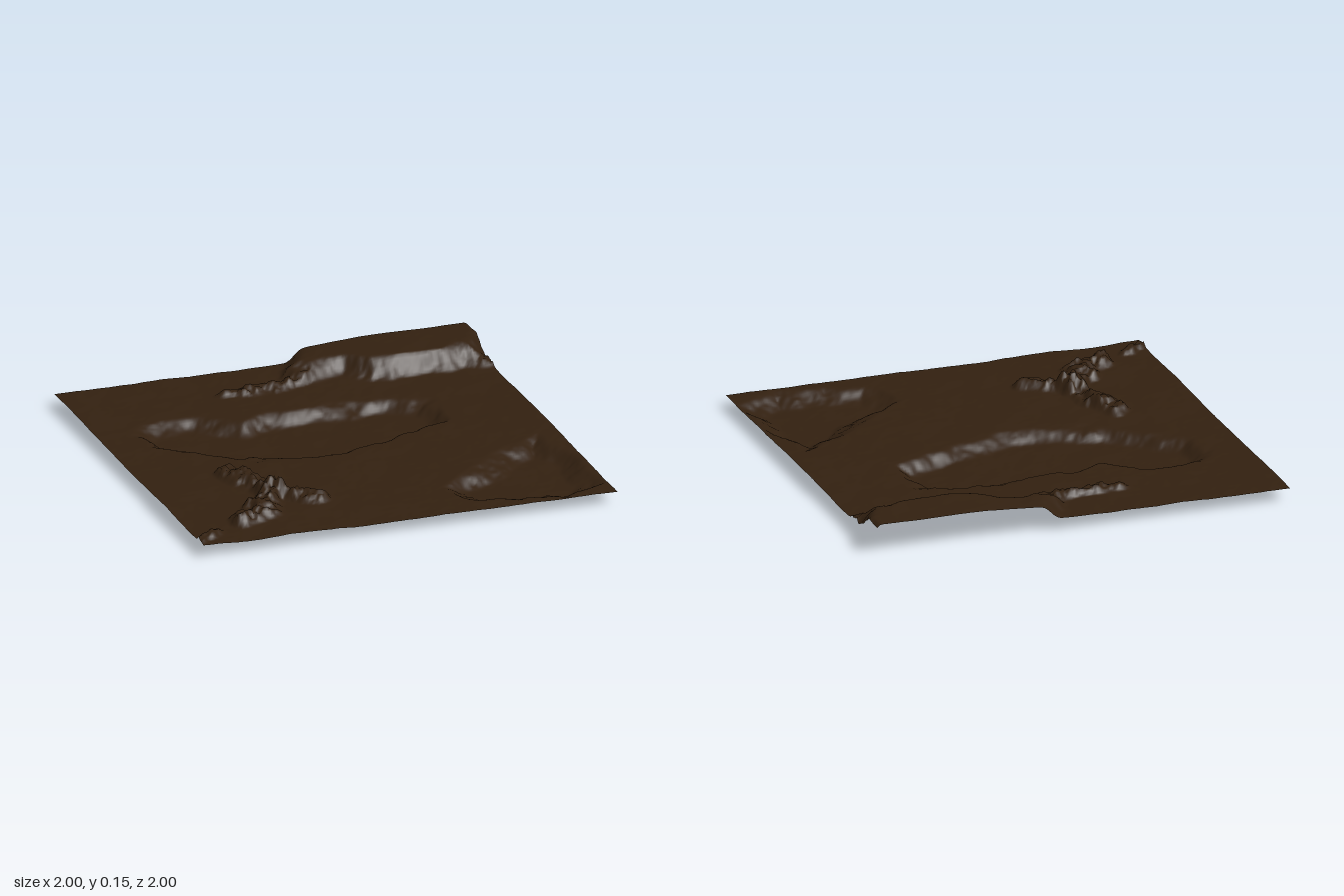
import * as THREE from 'three';

const N = 180; // grid cells per side
const BASE = 0.063; // level of the open ground

// Outlines are [x, z] points seen from above
const HOLLOWS = [
  [[-0.84, -0.42], [-0.72, -0.52], [-0.5, -0.53], [-0.32, -0.42], [0, -0.45], [0.35, -0.47], [0.58, -0.36],
    [0.58, -0.12], [0.3, 0.05], [-0.1, 0.13], [-0.4, 0.07], [-0.64, -0.1], [-0.8, -0.25]],
  [[0.26, 0.68], [0.5, 0.53], [0.65, 0.36], [0.9, 0.2], [0.98, 0.5], [0.96, 0.84], [0.8, 0.98], [0.55, 0.93], [0.36, 0.86]],
];
const PLATEAU = [[0.2, -1.2], [0.04, -0.82], [0.14, -0.76], [0.3, -0.78], [0.42, -0.7], [0.7, -0.66], [0.94, -0.71], [1.04, -0.88], [1.02, -1.2]];

// Rock clusters: path, half width and height above the ground
const ROCKS = [
  { path: [[-0.59, 0.2], [-0.53, 0.36], [-0.47, 0.5], [-0.32, 0.61]], r: 0.075, h: 0.055 },
  { path: [[-0.47, 0.5], [-0.6, 0.63], [-0.62, 0.74], [-0.74, 0.8]], r: 0.075, h: 0.055 },
  { path: [[-0.26, -0.71], [-0.03, -0.73], [0.12, -0.78], [0.22, -0.95]], r: 0.055, h: 0.04 },
  { path: [[0.85, -0.78], [0.97, -0.68]], r: 0.07, h: 0.03 },
  { path: [[-0.99, 0.96], [-0.9, 0.88]], r: 0.04, h: 0.035 },
];

const { lerp, clamp, smoothstep } = THREE.MathUtils;

// Repeatable value noise, 0 to 1
function hash(i, j) {
  const s = Math.sin(i * 127.1 + j * 311.7) * 43758.5453;
  return s - Math.floor(s);
}
function noise(x, z) {
  const i = Math.floor(x), j = Math.floor(z);
  const u = smoothstep(x - i, 0, 1), v = smoothstep(z - j, 0, 1);
  return lerp(lerp(hash(i, j), hash(i + 1, j), u), lerp(hash(i, j + 1), hash(i + 1, j + 1), u), v);
}
// Layered noise, about -1 to 1
function fbm(x, z) {
  let sum = 0;
  for (let o = 0, f = 1; o < 4; o++, f *= 2.1) sum += (noise(x * f + o * 17, z * f + o * 9) - 0.5) / f;
  return sum * 1.2;
}

function pathDistance(x, z, pts, closed) {
  let best = Infinity;
  const n = closed ? pts.length : pts.length - 1;
  for (let i = 0; i < n; i++) {
    const [ax, az] = pts[i], [bx, bz] = pts[(i + 1) % pts.length];
    const dx = bx - ax, dz = bz - az;
    const t = clamp(((x - ax) * dx + (z - az) * dz) / (dx * dx + dz * dz), 0, 1);
    best = Math.min(best, Math.hypot(x - ax - t * dx, z - az - t * dz));
  }
  return best;
}
// Distance to an outline, positive inside it
function inside(x, z, pts) {
  let hit = false;
  for (let i = 0, j = pts.length - 1; i < pts.length; j = i++) {
    const [ax, az] = pts[i], [bx, bz] = pts[j];
    if ((az > z) !== (bz > z) && x < ((bx - ax) * (z - az)) / (bz - az) + ax) hit = !hit;
  }
  return pathDistance(x, z, pts, true) * (hit ? 1 : -1);
}

function height(x, z) {
  // Ragged outlines come from shifting the lookup point
  const wx = x + 0.05 * fbm(x * 6, z * 6), wz = z + 0.05 * fbm(x * 6 + 40, z * 6 + 7);
  let y = BASE + 0.009 * fbm(x * 4, z * 4);
  for (const outline of HOLLOWS) {
    const k = smoothstep(inside(wx, wz, outline), -0.02, 0.1);
    y = lerp(y, 0.01 + 0.008 * fbm(x * 5 + 3, z * 5), k);
  }
  const top = smoothstep(inside(wx, wz, PLATEAU), -0.035, 0.07);
  y = lerp(y, 0.129 + 0.022 * smoothstep(x, 0.1, 0.5) + 0.004 * fbm(x * 5, z * 5), top);
  // Blocky stones
  for (const { path, r, h } of ROCKS) {
    const k = (1 - smoothstep(pathDistance(wx, wz, path, false), r * 0.35, r * 1.1)) * (1 - 0.85 * top);
    const block = Math.round(noise(x * 26, z * 26) * 4) / 4;
    y += h * k * (0.25 + 0.75 * block + 0.25 * fbm(x * 30, z * 30));
  }
  return clamp(y, 0, 0.155);
}

export function createModel() {
  const group = new THREE.Group();
  group.name = 'terrain';

  // Ground sheet raised by the height rule
  const geometry = new THREE.PlaneGeometry(2, 2, N, N).rotateX(-Math.PI / 2);
  const pos = geometry.attributes.position;
  for (let i = 0; i < pos.count; i++) pos.setY(i, height(pos.getX(i), pos.getZ(i)));
  geometry.computeBoundingBox();
  geometry.translate(0, -geometry.boundingBox.min.y, 0);
  geometry.computeVertexNormals();

  const soil = new THREE.MeshStandardMaterial({ color: 0x322010, side: THREE.DoubleSide });
  const ground = new THREE.Mesh(geometry, soil);
  ground.name = 'ground';
  group.add(ground);
  return group;
}
